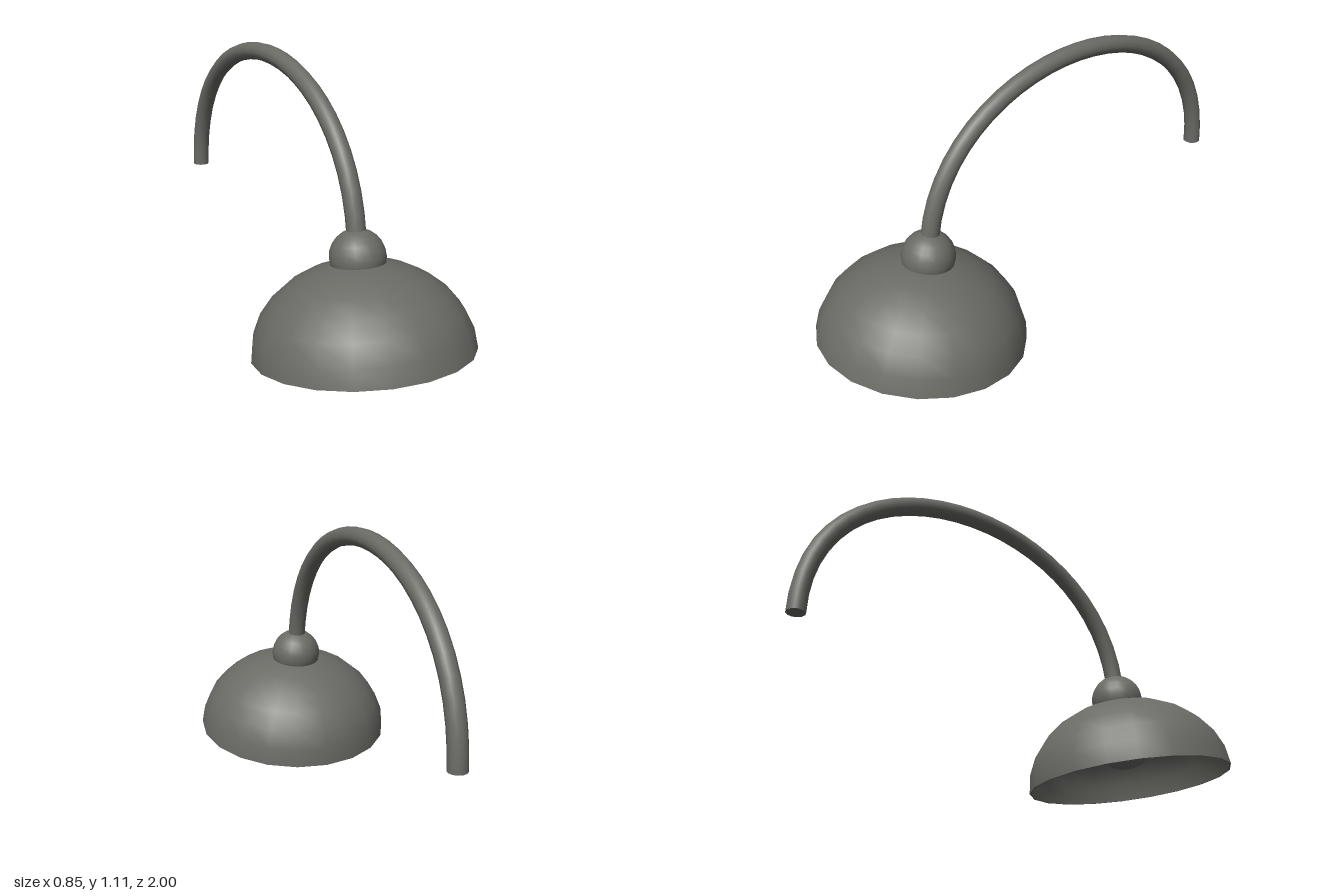
import * as THREE from 'three';
import { toCreasedNormals } from 'three/addons/utils/BufferGeometryUtils.js';

export function createModel() {
  const group = new THREE.Group();
  const metal = new THREE.MeshStandardMaterial({ color: 0x6b6b66 });
  metal.name = 'dark grey metal';

  const add = (parent, name, geometry, x = 0, y = 0, z = 0) => {
    const mesh = new THREE.Mesh(geometry, metal);
    mesh.name = name;
    mesh.position.set(x, y, z);
    parent.add(mesh);
    return mesh;
  };

  // Lamp head: everything here shares the forward tilt of the shade
  const head = new THREE.Group();
  head.name = 'lampHead';
  head.position.set(0, 0.063, 0.578);
  head.rotation.x = -0.147;
  group.add(head);

  // Thin dome, from the inner crown down to the rim and up the outside
  const rings = 7;
  const dome = (radius, height) => Array.from({ length: rings + 1 }, (_, i) => {
    const a = (i / rings) * Math.PI / 2;
    return new THREE.Vector2(i === rings ? 0 : radius * Math.cos(a), height * Math.sin(a));
  });
  const profile = [...dome(0.419, 0.34).reverse(), ...dome(0.426, 0.348)];
  add(head, 'shade', toCreasedNormals(new THREE.LatheGeometry(profile, 20), 1.0));

  // Bulb inside the shade
  add(head, 'bulb', new THREE.SphereGeometry(0.143, 20, 14), 0, 0.2, 0);

  // Ball joint on the crown
  add(head, 'ballJoint', new THREE.SphereGeometry(0.108, 20, 12), 0, 0.36, 0);

  // Curved arm, arching back from the joint to a vertical end
  const end = new THREE.Vector3(0, 0.415, -0.963);
  const path = new THREE.CubicBezierCurve3(
    new THREE.Vector3(0, 0.42, 0.52),
    new THREE.Vector3(0, 1.288, 0.493),
    new THREE.Vector3(0, 1.288, -0.963),
    end
  );
  add(group, 'arm', new THREE.TubeGeometry(path, 28, 0.037, 12, false));

  // Flat cap closing the free end of the arm
  const cap = add(group, 'armEndCap', new THREE.CircleGeometry(0.037, 12), end.x, end.y, end.z);
  cap.rotation.x = Math.PI / 2;

  return group;
}
